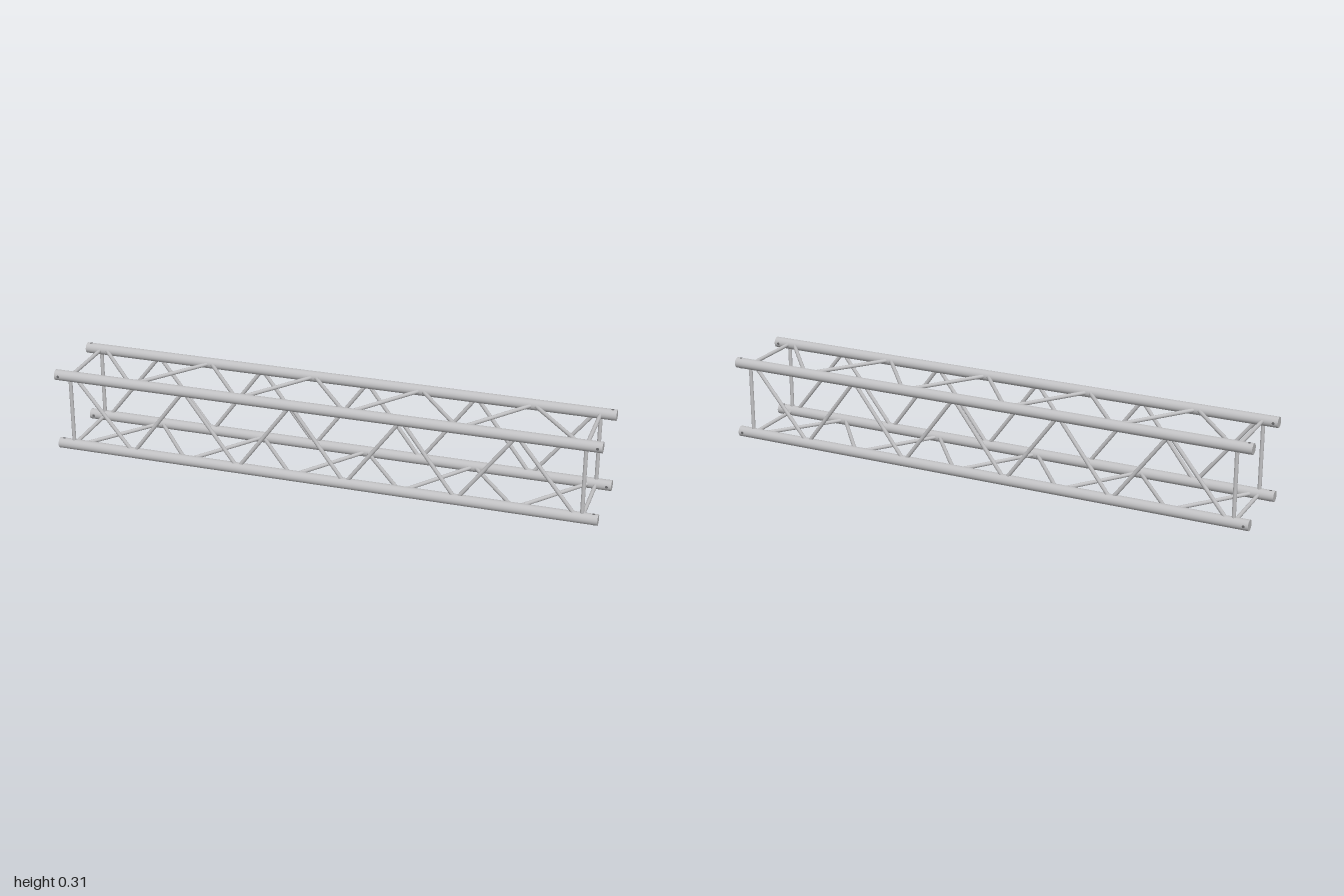
import * as THREE from 'three';

const R = 0.0195;      // main tube radius
const WEB = 0.007;     // brace radius
const H = 0.136;       // half distance between tube axes
const CY = H + R;      // height of the truss axis
const POST_X = 0.944;
const NODES = [-0.925, -0.708, -0.503, -0.302, -0.1, 0.1, 0.302, 0.503, 0.708, 0.925];

export function createModel() {
  const aluminium = new THREE.MeshStandardMaterial({ color: 0xc0c0c2 });
  const holeGrey = new THREE.MeshStandardMaterial({ color: 0x6a6a6c });
  const truss = new THREE.Group();
  truss.name = 'boxTruss';

  // round bar between two points
  function bar(name, a, b, radius, sides, parent) {
    const dir = b.clone().sub(a);
    const mesh = new THREE.Mesh(new THREE.CylinderGeometry(radius, radius, dir.length(), sides), aluminium);
    mesh.position.copy(a).add(b).multiplyScalar(0.5);
    mesh.quaternion.setFromUnitVectors(new THREE.Vector3(0, 1, 0), dir.normalize());
    mesh.name = name;
    parent.add(mesh);
  }

  // four main tubes with a cross pin hole near each end
  for (const sy of [-1, 1]) for (const sz of [-1, 1]) {
    const y = CY + sy * H, z = sz * H;
    bar('mainTube', new THREE.Vector3(-1, y, z), new THREE.Vector3(1, y, z), R, 32, truss);
    const alongZ = sy === sz;
    for (const sx of [-1, 1]) {
      const pin = new THREE.Mesh(new THREE.CylinderGeometry(0.005, 0.005, 2 * R + 0.0006, 16), holeGrey);
      pin.position.set(sx * 0.984, y, z);
      if (alongZ) pin.rotation.x = Math.PI / 2;
      pin.name = 'pinHole';
      truss.add(pin);
    }
  }

  // each side maps (x, across) to a point; phase sets which tube the zigzag starts on
  const sides = [
    { name: 'frontLattice', at: (x, s) => new THREE.Vector3(x, CY + s * H, H), start: 1 },
    { name: 'backLattice', at: (x, s) => new THREE.Vector3(x, CY + s * H, -H), start: -1 },
    { name: 'topLattice', at: (x, s) => new THREE.Vector3(x, CY + H, s * H), start: -1 },
    { name: 'bottomLattice', at: (x, s) => new THREE.Vector3(x, CY - H, s * H), start: 1 },
  ];
  for (const { name, at, start } of sides) {
    const lattice = new THREE.Group();
    lattice.name = name;
    // straight end posts
    for (const x of [-POST_X, POST_X]) bar('endPost', at(x, -1), at(x, 1), WEB, 16, lattice);
    // zigzag braces
    for (let i = 0; i < NODES.length - 1; i++) {
      const s = i % 2 ? -start : start;
      bar('diagonalBrace', at(NODES[i], s), at(NODES[i + 1], -s), WEB, 16, lattice);
    }
    truss.add(lattice);
  }
  return truss;
}
